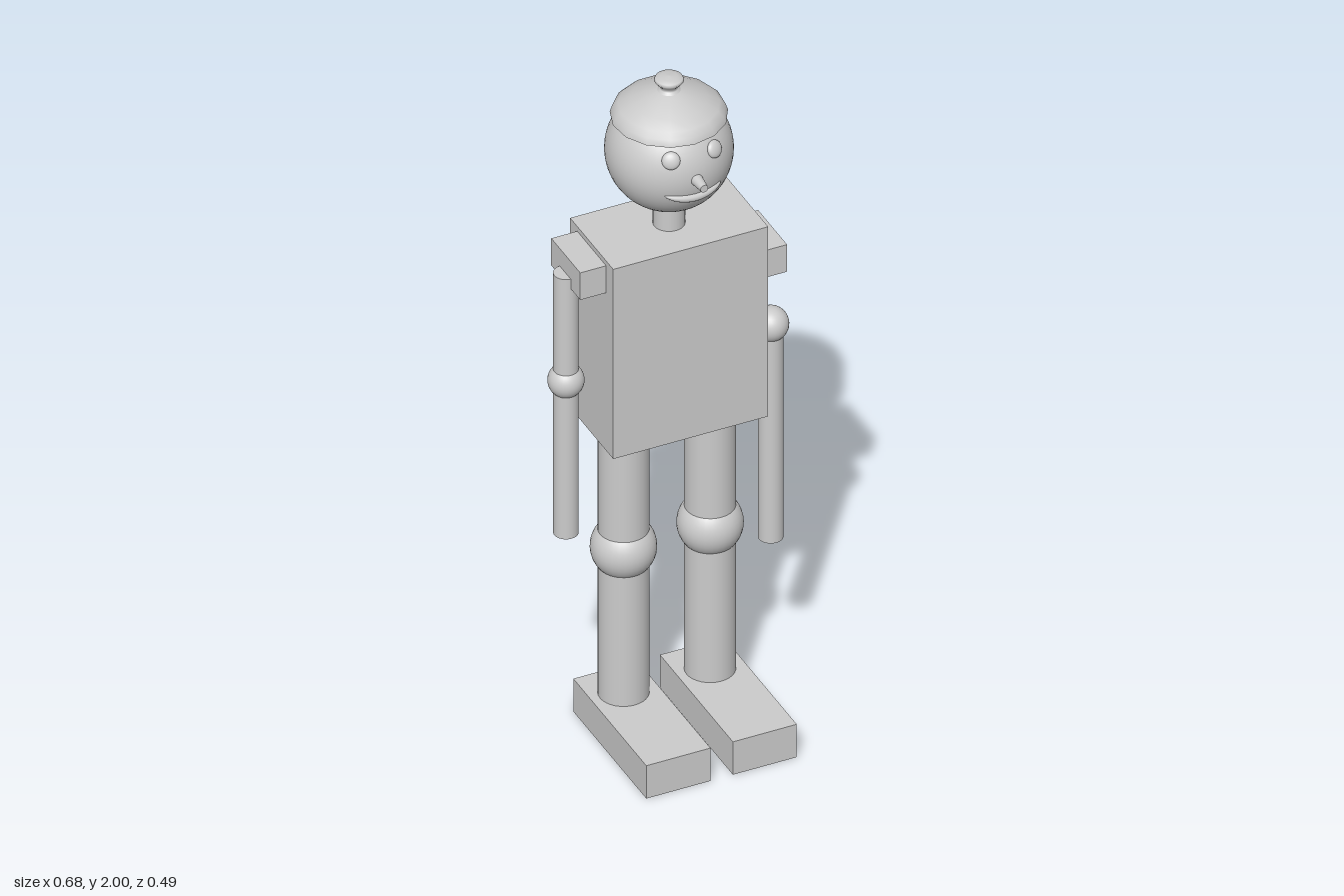
import * as THREE from 'three';

const material = new THREE.MeshStandardMaterial({ color: 0xcccccc });
const openMaterial = new THREE.MeshStandardMaterial({ color: 0xcccccc, side: THREE.DoubleSide });

const AXIS_Z = -0.078; // depth of the neck, arms and legs
const HEAD = new THREE.Vector3(0, 1.775, AXIS_Z);
const HEAD_R = 0.167;

export function createModel() {
  const model = new THREE.Group();

  const add = (parent, name, geometry, x = 0, y = 0, z = 0, mat = material) => {
    const mesh = new THREE.Mesh(geometry, mat);
    mesh.name = name;
    mesh.position.set(x, y, z);
    parent.add(mesh);
    return mesh;
  };
  const group = (name) => {
    const g = new THREE.Group();
    g.name = name;
    model.add(g);
    return g;
  };
  // Box given by its limits on each axis
  const box = (parent, name, [x0, x1], [y0, y1], [z0, z1]) =>
    add(parent, name, new THREE.BoxGeometry(x1 - x0, y1 - y0, z1 - z0),
      (x0 + x1) / 2, (y0 + y1) / 2, (z0 + z1) / 2);
  // Upright rod between two heights
  const rod = (parent, name, r, x, y0, y1, z = AXIS_Z) =>
    add(parent, name, new THREE.CylinderGeometry(r, r, y1 - y0, 32), x, (y0 + y1) / 2, z);
  const ball = (parent, name, r, x, y, z = AXIS_Z) =>
    add(parent, name, new THREE.SphereGeometry(r, 32, 20), x, y, z);
  // Point on the front of the head at a given x, y
  const onHead = (x, y, r = HEAD_R) =>
    new THREE.Vector3(x, y, HEAD.z + Math.sqrt(r * r - x * x - (y - HEAD.y) ** 2));

  // Body
  box(model, 'torso', [-0.221, 0.221], [0.945, 1.54], [-0.205, 0.051]);
  rod(model, 'neck', 0.042, 0, 1.53, 1.64);

  // Legs
  for (const [side, x, foot] of [['right', -0.128, [-0.219, -0.036]], ['left', 0.119, [0.028, 0.21]]]) {
    const leg = group(side + 'Leg');
    rod(leg, 'legRod', 0.067, x, 0.1, 0.95, -0.082);
    ball(leg, 'knee', 0.087, x, 0.562, -0.082);
    box(leg, 'foot', foot, [0, 0.103], [-0.19, 0.243]);
  }

  // Arms, hung at different heights
  for (const [side, x, shoulderX, shoulderY, armY] of [
    ['right', -0.293, [-0.295, -0.221], [1.44, 1.525], [0.655, 1.47]],
    ['left', 0.291, [0.221, 0.295], [1.35, 1.435], [0.465, 1.135]],
  ]) {
    const arm = group(side + 'Arm');
    box(arm, 'shoulder', shoulderX, shoulderY, [-0.163, 0.009]);
    rod(arm, 'armRod', 0.033, x, ...armY, -0.08);
    ball(arm, 'elbow', 0.048, x, 1.133, -0.08);
  }

  // Head
  const head = group('head');
  add(head, 'skull', new THREE.SphereGeometry(HEAD_R, 48, 32), HEAD.x, HEAD.y, HEAD.z);

  // Eyes: flattened buttons lying on the head
  for (const [side, sx] of [['right', -1], ['left', 1]]) {
    const p = onHead(sx * 0.062, 1.84);
    const eye = ball(head, side + 'Eye', 0.024, p.x, p.y, p.z);
    eye.scale.z = 0.5;
    eye.lookAt(p.clone().multiplyScalar(2).sub(HEAD));
  }

  // Nose: tapered peg
  const nose = add(head, 'nose', new THREE.CylinderGeometry(0.011, 0.018, 0.06, 24), 0, 1.777, 0.102);
  nose.rotation.x = Math.PI / 2;

  // Mouth: curved tube thinning towards both corners
  const smile = new THREE.CatmullRomCurve3(
    [-0.08, -0.055, -0.028, 0, 0.028, 0.055, 0.08].map((x) => onHead(x, 1.72 + 2.2 * x * x)));
  const mouthGeo = new THREE.TubeGeometry(smile, 32, 0.012, 12);
  const pos = mouthGeo.attributes.position;
  const v = new THREE.Vector3();
  for (let i = 0; i < pos.count; i++) {
    const t = Math.floor(i / 13) / 32;
    const c = smile.getPointAt(t);
    v.fromBufferAttribute(pos, i).sub(c).multiplyScalar(Math.sqrt(Math.sin(Math.PI * t) + 1e-4) || 0.01).add(c);
    pos.setXYZ(i, v.x, v.y, v.z);
  }
  mouthGeo.computeVertexNormals();
  add(head, 'mouth', mouthGeo);

  // Cap: open shell with a knob on top
  const lathe = (points, sides) =>
    new THREE.LatheGeometry(points.map(([r, y]) => new THREE.Vector2(r, y)), sides);
  add(head, 'cap', lathe([[0.153, 1.88], [0.147, 1.898], [0.132, 1.913], [0.1, 1.931],
    [0.06, 1.948], [0.03, 1.957]], 15), 0, 0, AXIS_Z, openMaterial);
  add(head, 'capKnob', lathe([[0.036, 1.952], [0.024, 1.962], [0.022, 1.968], [0.034, 1.981],
    [0.039, 1.988], [0.036, 1.994], [0.022, 1.998], [0, 2]], 32), 0, 0, AXIS_Z, openMaterial);

  return model;
}
